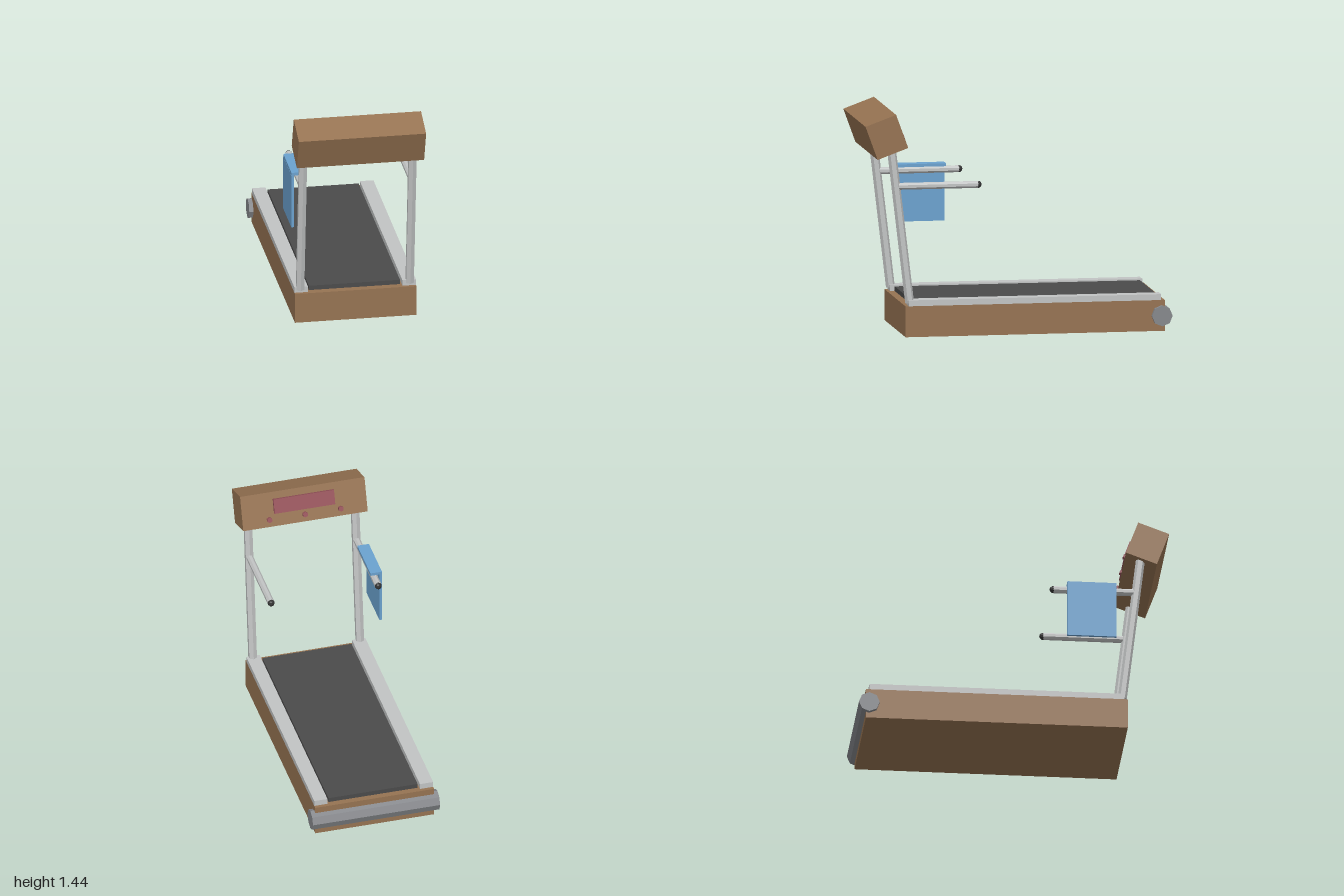
import * as THREE from 'three';

const paint = (name, color) => {
  const m = new THREE.MeshStandardMaterial({ color });
  m.name = name;
  m.flatShading = true;
  return m;
};

export function createModel() {
  const wood = paint('brown', 0x967352);
  const metal = paint('light grey', 0xc2c4c4);
  const steel = paint('mid grey', 0x86888c);
  const rubber = paint('charcoal', 0x4b4b4b);
  const grip = paint('black', 0x333333);
  const red = paint('dull red', 0x96525a);
  const cloth = paint('blue', 0x6ba2cf);

  const model = new THREE.Group();
  model.name = 'treadmill';

  const add = (parent, name, geometry, material, x, y, z) => {
    const mesh = new THREE.Mesh(geometry, material);
    mesh.name = name;
    mesh.position.set(x, y, z);
    parent.add(mesh);
    return mesh;
  };
  // Box given by its lower and upper limits on each axis
  const block = (name, material, [x0, x1], [y0, y1], [z0, z1]) =>
    add(model, name, new THREE.BoxGeometry(x1 - x0, y1 - y0, z1 - z0), material,
      (x0 + x1) / 2, (y0 + y1) / 2, (z0 + z1) / 2);

  // Deck
  block('base', wood, [-0.395, 0.395], [0, 0.2], [-0.953, 0.733]);
  block('belt', rubber, [-0.296, 0.296], [0.19, 0.23], [-0.913, 0.683]);

  // Rear roller
  const roller = new THREE.CylinderGeometry(0.067, 0.067, 0.845, 8).rotateZ(Math.PI / 2);
  add(model, 'roller', roller, steel, 0, 0.1, -0.933);

  // Side rails, leaning posts and handles
  for (const [side, s] of [['left', 1], ['right', -1]]) {
    const x = 0.356 * s;
    const edges = s > 0 ? [0.307, 0.395] : [-0.395, -0.307];
    block(side + 'Rail', metal, edges, [0.2, 0.238], [-0.93, 0.712]);

    const post = add(model, side + 'Post', new THREE.CylinderGeometry(0.029, 0.029, 1.03, 6),
      metal, x, 0.73, 0.761);
    post.rotation.x = 0.118;

    const bar = new THREE.CylinderGeometry(0.023, 0.023, 0.535, 8)
      .rotateY(Math.PI / 8).rotateX(Math.PI / 2);
    add(model, side + 'Handle', bar, metal, x, 0.973, 0.5225);
    add(model, side + 'HandleGrip', new THREE.SphereGeometry(0.023, 8, 6), grip, x, 0.973, 0.255);
  }

  // Tilted console with its display and buttons facing the runner
  const console_ = new THREE.Group();
  console_.name = 'console';
  console_.position.set(0, 1.3, 0.858);
  console_.rotation.x = 0.35;
  model.add(console_);
  add(console_, 'consoleBody', new THREE.BoxGeometry(0.827, 0.23, 0.212), wood, 0, 0, 0);
  add(console_, 'display', new THREE.BoxGeometry(0.403, 0.096, 0.04), red, 0, 0.02, -0.106);
  for (const x of [-0.237, 0, 0.237]) {
    const button = new THREE.CylinderGeometry(0.018, 0.018, 0.04, 6).rotateX(Math.PI / 2);
    add(console_, 'button', button, red, x, -0.066, -0.106);
  }

  // Towel folded over the right handle
  block('towelTop', cloth, [-0.405, -0.328], [0.995, 1.014], [0.343, 0.66]);
  block('towelDrop', cloth, [-0.406, -0.388], [0.635, 0.995], [0.343, 0.66]);

  return model;
}
